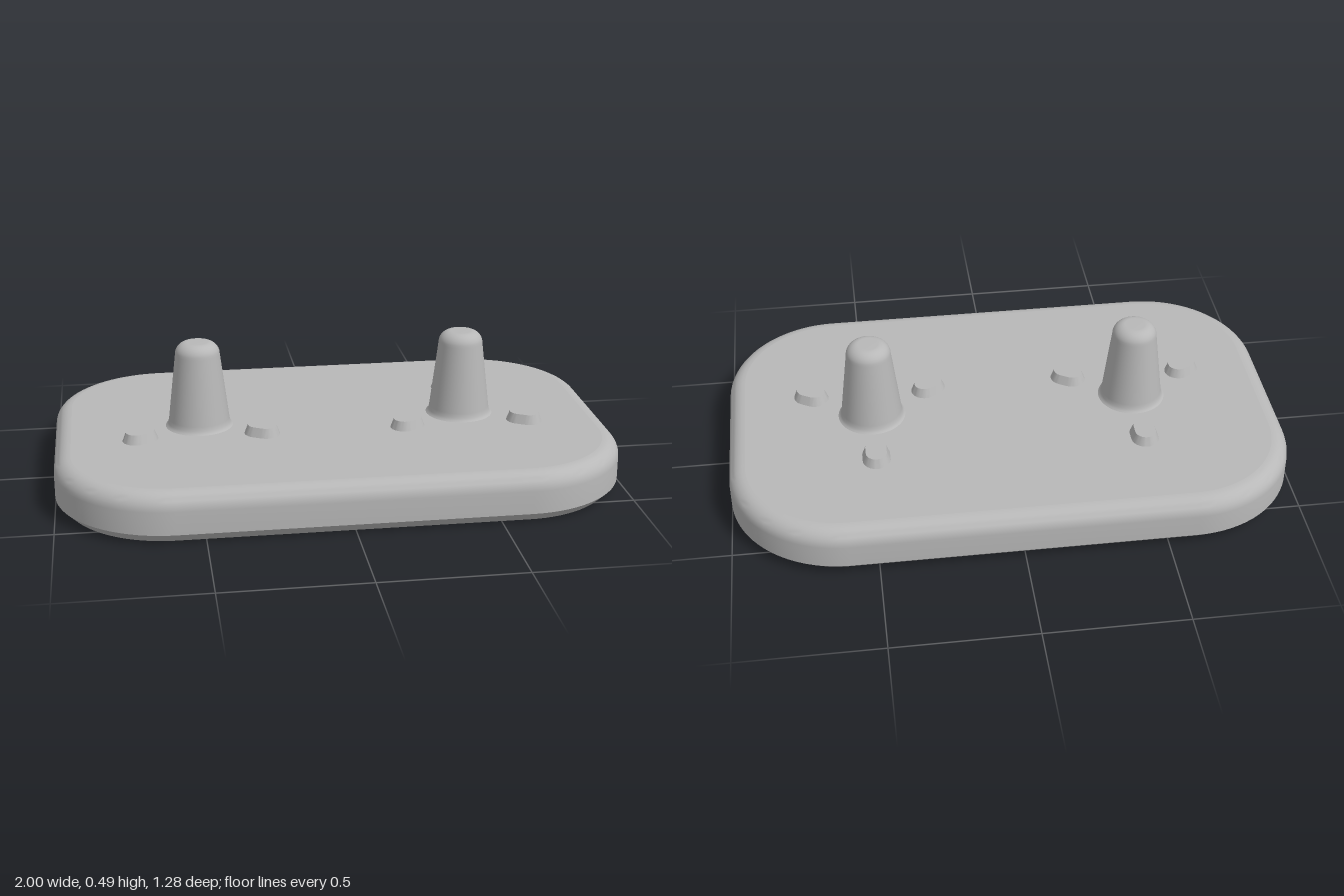
import * as THREE from 'three';
import { mergeGeometries, toCreasedNormals } from 'three/addons/utils/BufferGeometryUtils.js';

const BASE_TOP = 0.177;

// Outline of a rounded rectangle, shrunk by an inset, at height y
function roundedRing(halfX, halfZ, radius, inset, y, steps) {
  const ring = [];
  const signs = [[1, 1], [-1, 1], [-1, -1], [1, -1]];
  signs.forEach(([sx, sz], quarter) => {
    for (let i = 0; i <= steps; i++) {
      const a = (quarter + i / steps) * Math.PI / 2;
      ring.push([
        sx * (halfX - radius) + Math.cos(a) * (radius - inset),
        y,
        sz * (halfZ - radius) + Math.sin(a) * (radius - inset),
      ]);
    }
  });
  return ring;
}

function trianglesToGeometry(triangles) {
  const geometry = new THREE.BufferGeometry();
  geometry.setAttribute('position', new THREE.Float32BufferAttribute(triangles.flat(2), 3));
  return geometry;
}

// Closed solid through [inset, y] levels, with smooth walls and flat caps
function roundedSolid(halfX, halfZ, radius, levels, steps) {
  const rings = levels.map(([inset, y]) => roundedRing(halfX, halfZ, radius, inset, y, steps));
  const walls = [], caps = [];
  const n = rings[0].length;
  const low = rings[0], high = rings[rings.length - 1];
  for (let i = 0; i < n; i++) {
    const j = (i + 1) % n;
    for (let k = 0; k < rings.length - 1; k++) {
      const a = rings[k], b = rings[k + 1];
      if (Math.hypot(a[i][0] - a[j][0], a[i][2] - a[j][2]) < 1e-6) continue;
      walls.push([a[i], b[i], a[j]], [a[j], b[i], b[j]]);
    }
    caps.push([[0, low[0][1], 0], low[i], low[j]]);
    caps.push([[0, high[0][1], 0], high[j], high[i]]);
  }
  const wallGeometry = toCreasedNormals(trianglesToGeometry(walls), 0.5);
  const capGeometry = trianglesToGeometry(caps);
  capGeometry.computeVertexNormals();
  return mergeGeometries([wallGeometry, capGeometry]);
}

// Slab: chamfered below, rounded over above
function baseGeometry() {
  const fillet = 0.06;
  const levels = [[0.035, 0], [0, 0.035]];
  for (let i = 0; i <= 8; i++) {
    const a = i / 8 * Math.PI / 2;
    levels.push([fillet * (1 - Math.cos(a)), BASE_TOP - fillet * (1 - Math.sin(a))]);
  }
  return roundedSolid(1, 0.64, 0.4, levels, 20);
}

// Tapered post with a flared foot and rounded tip
function pegGeometry() {
  const points = [[0.124, BASE_TOP - 0.002], [0.117, 0.181], [0.112, 0.19], [0.109, 0.205], [0.08, 0.445]]
    .map(([x, y]) => new THREE.Vector2(x, y));
  for (let i = 1; i <= 8; i++) {
    const a = i / 8 * Math.PI / 2;
    points.push(new THREE.Vector2(0.036 + 0.044 * Math.cos(a), 0.446 + 0.044 * Math.sin(a)));
  }
  points.push(new THREE.Vector2(0, 0.49));
  return new THREE.LatheGeometry(points, 48);
}

export function createModel() {
  const model = new THREE.Group();
  model.name = 'twinPegPlate';
  const grey = new THREE.MeshStandardMaterial({ color: 0xb8b8b8 });
  grey.name = 'plainGrey';

  const add = (parent, name, geometry) => {
    const mesh = new THREE.Mesh(geometry, grey);
    mesh.name = name;
    parent.add(mesh);
    return mesh;
  };

  add(model, 'base', baseGeometry());

  const peg = pegGeometry();
  const stud = roundedSolid(0.066, 0.05, 0.05, [[0, BASE_TOP - 0.002], [0.013, 0.21]], 10);

  // Each post has three oval studs pointing away from it
  for (const side of [-1, 1]) {
    const station = new THREE.Group();
    station.name = side > 0 ? 'leftStation' : 'rightStation';
    station.position.x = side * 0.48;
    add(station, 'peg', peg);
    for (let i = 0; i < 3; i++) {
      const angle = Math.PI / 2 + i * Math.PI * 2 / 3;
      const mesh = add(station, 'stud', stud);
      mesh.position.set(0.25 * Math.cos(angle), 0, -0.25 * Math.sin(angle));
      mesh.rotation.y = angle;
    }
    model.add(station);
  }
  return model;
}
